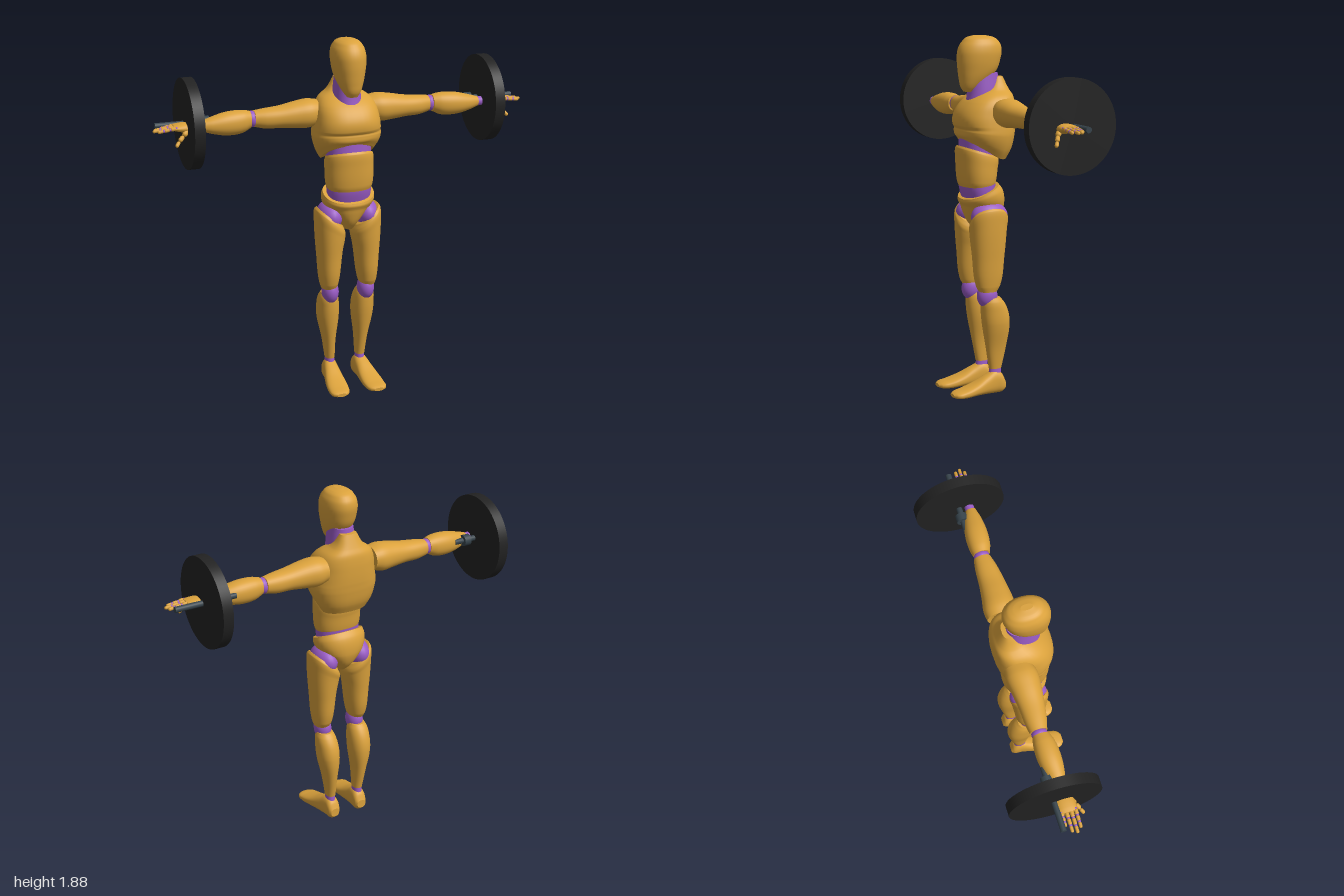
import * as THREE from 'three';

const paint = (name, color) => {
  const m = new THREE.MeshStandardMaterial({ color });
  m.name = name;
  return m;
};

// Smooth closed body through cross-sections [t, uMin, uMax, vMin, vMax].
// axis y: u = z, v = x; axis x: u = y, v = z; axis z: u = x, v = y.
function loft(axis, rows, { n = 2.2, warp = null, seg = 36, sub = 5 } = {}) {
  const spline = new THREE.CubicInterpolant(
    rows.map(r => r[0]), rows.flatMap(r => r.slice(1)), 4, new Array(4));
  const place = { y: (u, v, t) => [v, t, u], x: (u, v, t) => [t, u, v], z: (u, v, t) => [u, v, t] }[axis];
  const pow = s => Math.sign(s) * Math.abs(s) ** (2 / n);
  const pos = [], index = [], levels = [];
  rows.forEach((r, i) => {
    if (i === 0) levels.push(r[0]);
    else for (let k = 1; k <= sub; k++) levels.push(THREE.MathUtils.lerp(rows[i - 1][0], r[0], k / sub));
  });
  const ring = t => {
    const [a, b, c, d] = Array.from(spline.evaluate(t));
    for (let j = 0; j < seg; j++) {
      const q = j / seg * Math.PI * 2;
      const p = place((a + b) / 2 + (b - a) / 2 * pow(Math.cos(q)),
        (c + d) / 2 + (d - c) / 2 * pow(Math.sin(q)), t);
      if (warp) warp(p);
      pos.push(...p);
    }
  };
  levels.forEach(ring);
  for (let i = 0; i < levels.length - 1; i++) {
    for (let j = 0; j < seg; j++) {
      const a = i * seg + j, b = i * seg + (j + 1) % seg;
      index.push(a, b, b + seg, a, b + seg, a + seg);
    }
  }
  // flat end caps with their own vertices
  for (const end of [0, 1]) {
    const base = pos.length / 3;
    ring(levels[end ? levels.length - 1 : 0]);
    for (let j = 1; j < seg - 1; j++) {
      if (end) index.push(base, base + j, base + j + 1);
      else index.push(base, base + j + 1, base + j);
    }
  }
  const g = new THREE.BufferGeometry();
  g.setAttribute('position', new THREE.Float32BufferAttribute(pos, 3));
  g.setIndex(index);
  g.computeVertexNormals();
  return g;
}

const ball = (x, y, z, rx, ry, rz) =>
  new THREE.SphereGeometry(1, 28, 18).scale(rx, ry, rz).translate(x, y, z);
const discX = (r, x0, x1, y, z, seg = 32) =>
  new THREE.CylinderGeometry(r, r, x1 - x0, seg).rotateZ(Math.PI / 2).translate((x0 + x1) / 2, y, z);

// Rounded finger bone between two points
function bone(a, b, r) {
  const p = new THREE.Vector3(...a), q = new THREE.Vector3(...b), d = q.clone().sub(p);
  const turn = new THREE.Quaternion().setFromUnitVectors(new THREE.Vector3(0, 1, 0), d.clone().normalize());
  const mid = p.add(q).multiplyScalar(0.5);
  return new THREE.CapsuleGeometry(r, d.length() - 2 * r, 4, 10).applyQuaternion(turn).translate(mid.x, mid.y, mid.z);
}

function mirrored(geometry) {
  const g = geometry.clone().scale(-1, 1, 1), ix = g.index.array;
  for (let i = 0; i < ix.length; i += 3) [ix[i], ix[i + 1]] = [ix[i + 1], ix[i]];
  return g;
}

export function createModel() {
  const gold = paint('gold shell', 0xdba23c), purple = paint('purple joint', 0x9a5cc6);
  const black = paint('black plate', 0x222222), steel = paint('dark steel', 0x36434b);
  const model = new THREE.Group();
  model.name = 'mannequinWithWeights';
  const add = (name, g, m) => {
    const mesh = new THREE.Mesh(g, m);
    mesh.name = name;
    model.add(mesh);
  };
  const pair = (name, g, m) => {
    add('left' + name, g, m);
    add('right' + name, mirrored(g), m);
  };
  const clamp = v => THREE.MathUtils.clamp(v, 0, 1);

  // Head and neck
  add('head', loft('y', [
    [1.595, 0.11, 0.155, -0.028, 0.028], [1.62, 0.07, 0.17, -0.045, 0.045],
    [1.66, 0.02, 0.178, -0.063, 0.063], [1.70, -0.02, 0.183, -0.075, 0.075],
    [1.76, -0.043, 0.187, -0.085, 0.085], [1.81, -0.05, 0.182, -0.085, 0.085],
    [1.85, -0.035, 0.16, -0.071, 0.071], [1.874, 0, 0.13, -0.045, 0.045],
    [1.882, 0.04, 0.1, -0.015, 0.015]]), gold);
  add('neck', loft('y', [
    [1.48, -0.04, 0.155, -0.07, 0.07], [1.56, -0.04, 0.135, -0.072, 0.072],
    [1.69, -0.03, 0.125, -0.06, 0.06]]), purple);

  // Chest, its lower rim rising towards the front
  add('chest', loft('y', [
    [1.25, -0.06, 0.165, -0.135, 0.135], [1.30, -0.085, 0.183, -0.16, 0.16],
    [1.37, -0.1, 0.185, -0.177, 0.177], [1.405, -0.104, 0.184, -0.176, 0.176],
    [1.425, -0.106, 0.194, -0.174, 0.174], [1.48, -0.108, 0.19, -0.166, 0.166],
    [1.54, -0.106, 0.15, -0.152, 0.152], [1.575, -0.1, 0.105, -0.128, 0.128],
    [1.605, -0.085, 0.05, -0.085, 0.085], [1.67, -0.055, 0.0, -0.045, 0.045]], {
    n: 2.5,
    warp: p => { p[1] += 0.1 * clamp(1 - (p[1] - 1.25) / 0.16) * clamp(p[2] / 0.17); },
  }), gold);

  // Waist
  add('waistCore', loft('y', [
    [1.02, 0, 0.15, -0.11, 0.11], [1.10, -0.005, 0.17, -0.118, 0.118],
    [1.25, -0.02, 0.175, -0.117, 0.117], [1.37, -0.04, 0.168, -0.122, 0.122]]), purple);
  add('abdomen', loft('y', [
    [1.105, 0.0, 0.172, -0.116, 0.116], [1.13, -0.008, 0.181, -0.124, 0.124],
    [1.20, -0.018, 0.189, -0.128, 0.128], [1.245, -0.024, 0.19, -0.126, 0.126],
    [1.26, -0.018, 0.182, -0.12, 0.12]], {
    warp: p => { p[1] += 0.06 * clamp((p[1] - 1.12) / 0.12) * clamp(p[2] / 0.19); },
  }), gold);

  // Pelvis, its upper rim dipping in front
  add('pelvis', loft('y', [
    [0.88, 0.02, 0.105, -0.025, 0.025], [0.92, -0.025, 0.138, -0.05, 0.05],
    [0.97, -0.05, 0.157, -0.095, 0.095], [1.02, -0.057, 0.168, -0.13, 0.13],
    [1.06, -0.045, 0.175, -0.14, 0.14], [1.09, -0.02, 0.172, -0.136, 0.136]], {
    warp: p => { p[1] += clamp((p[1] - 1.0) / 0.09) * (0.03 - 0.08 * (p[2] + 0.02) / 0.19); },
  }), gold);

  // Legs
  pair('Hip', ball(0.098, 0.955, 0.056, 0.064, 0.075, 0.1), purple);
  pair('Thigh', loft('y', [
    [0.56, 0.02, 0.118, 0.066, 0.148], [0.59, 0.002, 0.133, 0.058, 0.155],
    [0.75, -0.022, 0.152, 0.038, 0.168], [0.88, -0.036, 0.162, 0.022, 0.177],
    [0.935, -0.042, 0.162, 0.022, 0.174], [0.955, -0.03, 0.15, 0.032, 0.164]], {
    warp: p => { p[1] += 0.8 * clamp((p[1] - 0.78) / 0.15) * (p[0] - 0.105); },
  }), gold);
  pair('Knee', ball(0.1, 0.535, 0.07, 0.045, 0.066, 0.056), purple);
  pair('Shin', loft('y', [
    [0.135, -0.016, 0.052, 0.06, 0.112], [0.25, -0.04, 0.072, 0.056, 0.127],
    [0.38, -0.056, 0.094, 0.041, 0.154], [0.45, -0.045, 0.101, 0.042, 0.156],
    [0.50, -0.02, 0.1, 0.05, 0.152], [0.525, 0.002, 0.09, 0.06, 0.142]]), gold);
  pair('Ankle', loft('y', [
    [0.09, -0.016, 0.055, 0.06, 0.112], [0.15, -0.012, 0.048, 0.063, 0.109]]), purple);
  pair('Foot', loft('z', [
    [-0.036, 0.06, 0.11, 0.018, 0.065], [-0.02, 0.05, 0.12, 0.004, 0.1],
    [0.02, 0.048, 0.125, 0, 0.125], [0.07, 0.047, 0.135, 0.002, 0.105],
    [0.14, 0.043, 0.15, 0.003, 0.07], [0.21, 0.046, 0.157, 0, 0.046],
    [0.255, 0.06, 0.15, 0.004, 0.035], [0.271, 0.08, 0.13, 0.01, 0.028]], { n: 2.5 }), gold);

  // Arms
  pair('UpperArm', loft('x', [
    [0.14, 1.44, 1.56, -0.085, 0.06], [0.19, 1.422, 1.568, -0.09, 0.072],
    [0.26, 1.425, 1.56, -0.08, 0.068], [0.34, 1.433, 1.545, -0.07, 0.058],
    [0.42, 1.435, 1.537, -0.065, 0.045], [0.475, 1.447, 1.53, -0.057, 0.03]]), gold);
  pair('Elbow', ball(0.487, 1.488, -0.013, 0.034, 0.042, 0.04), purple);
  pair('Forearm', loft('x', [
    [0.497, 1.445, 1.532, -0.052, 0.033], [0.54, 1.425, 1.54, -0.06, 0.048],
    [0.62, 1.42, 1.538, -0.06, 0.055], [0.7, 1.436, 1.52, -0.042, 0.047],
    [0.752, 1.455, 1.505, -0.02, 0.034]]), gold);
  pair('Wrist', discX(0.024, 0.74, 0.8, 1.479, 0.006), purple);

  // Hands
  pair('Palm', loft('x', [
    [0.785, 1.46, 1.5, -0.02, 0.032], [0.82, 1.456, 1.505, -0.042, 0.045],
    [0.87, 1.464, 1.503, -0.045, 0.05], [0.895, 1.472, 1.498, -0.042, 0.047]], { sub: 3, seg: 24 }), gold);
  const fingers = [['Index', 0.039, 0.98], ['Middle', 0.017, 1.0], ['Ring', -0.006, 0.99], ['Little', -0.029, 0.955]];
  for (const [name, z, tip] of fingers) {
    const step = (tip - 0.885) / 3;
    for (let k = 0; k < 3; k++) {
      const x = 0.885 + k * step, y = 1.488 - 0.004 * k;
      pair(`${name}Finger${k + 1}`, bone([x, y, z], [x + step, y - 0.004, z], 0.0105 - k * 0.001), gold);
      pair(`${name}Knuckle${k + 1}`, ball(x, y, z, 0.008, 0.0085, 0.0085), purple);
    }
  }
  const thumb = [[0.825, 1.472, 0.03], [0.855, 1.45, 0.052], [0.88, 1.428, 0.068], [0.9, 1.405, 0.083]];
  for (let k = 0; k < 3; k++) pair(`Thumb${k + 1}`, bone(thumb[k], thumb[k + 1], 0.0135 - k * 0.002), gold);

  // Weights
  pair('WeightPlate', discX(0.23, 0.776, 0.83, 1.487, -0.04, 64), black);
  pair('Bar', discX(0.015, 0.65, 0.975, 1.487, -0.046, 20), steel);
  pair('Collar', discX(0.03, 0.7, 0.738, 1.487, -0.048, 24), steel);
  return model;
}
